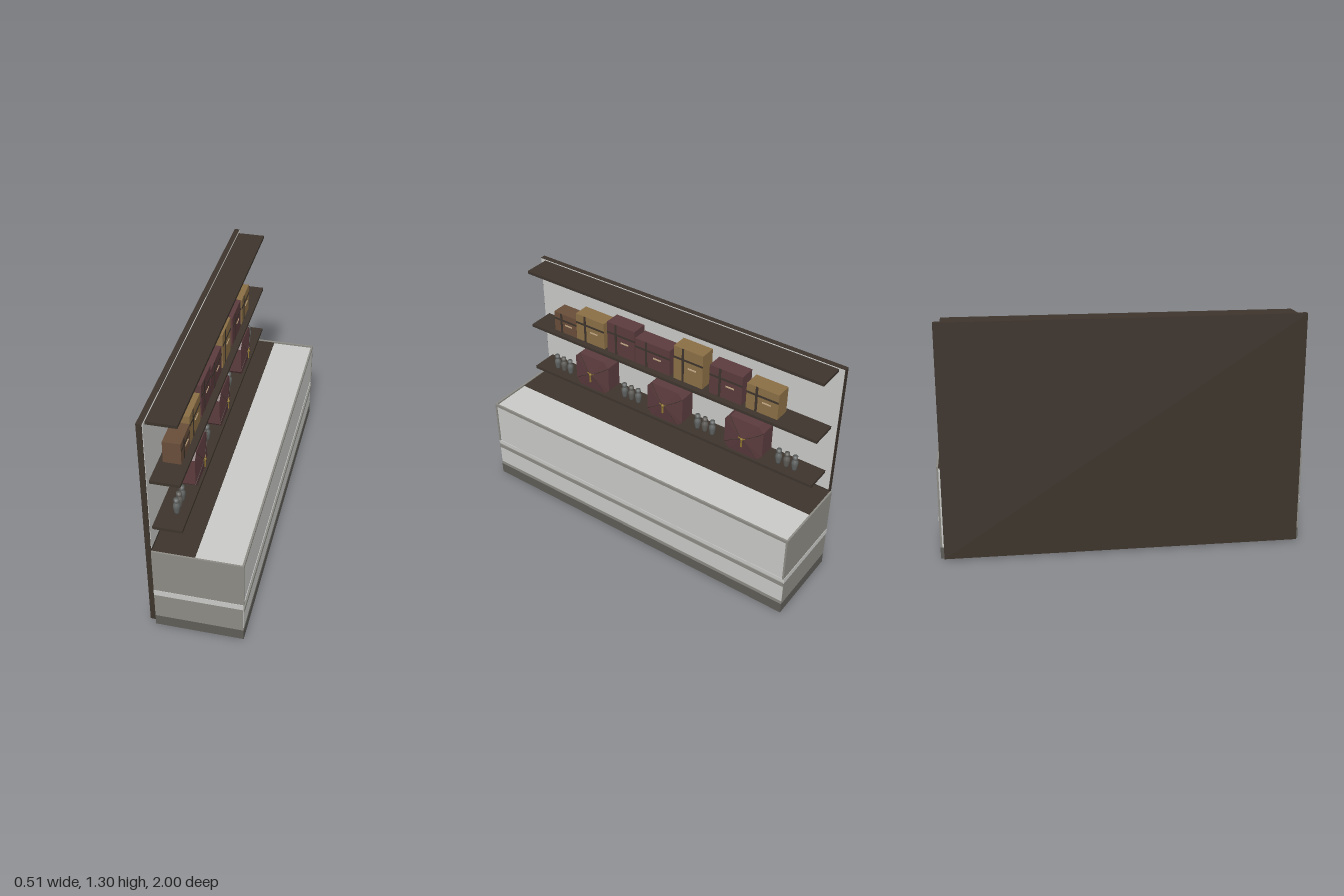
import * as THREE from 'three';

const mat = (name, color, extra = {}) => {
  const m = new THREE.MeshStandardMaterial({ color, ...extra });
  m.name = name;
  return m;
};

export function createModel() {
  const light = mat('lightPanel', 0xc8c8c6);
  const grey = mat('warmGrey', 0x8b8a83);
  const darkGrey = mat('plinthGrey', 0x5e5c57);
  const wood = mat('darkWood', 0x3d342c);
  const burgundy = mat('burgundy', 0x5b3b3d);
  const tan = mat('tan', 0x8a6e45);
  const brown = mat('cardboardBrown', 0x684d39);
  const gold = mat('gold', 0x907530);
  const metal = mat('bottleGrey', 0x5f6361);
  const cream = mat('labelCream', 0xc4a985);

  const root = new THREE.Group();
  root.name = 'shopCounter';

  const add = (parent, name, geometry, material) => {
    const mesh = new THREE.Mesh(geometry, material);
    mesh.name = name;
    parent.add(mesh);
    return mesh;
  };
  // Box given by its minimum and maximum on each axis
  const block = (parent, name, material, x0, x1, y0, y1, z0, z1) => {
    const mesh = add(parent, name, new THREE.BoxGeometry(x1 - x0, y1 - y0, z1 - z0), material);
    mesh.position.set((x0 + x1) / 2, (y0 + y1) / 2, (z0 + z1) / 2);
    return mesh;
  };
  const group = (name) => {
    const g = new THREE.Group();
    g.name = name;
    root.add(g);
    return g;
  };

  // Counter
  const counter = group('counter');
  block(counter, 'plinth', darkGrey, -0.22, 0.25, 0, 0.065, -1, 1);
  block(counter, 'counterBody', light, -0.22, 0.245, 0.065, 0.515, -0.99, 0.99);
  block(counter, 'counterDeck', wood, -0.22, 0, 0.515, 0.52, -0.99, 0.99);
  block(counter, 'lowerFront', light, 0.245, 0.248, 0.085, 0.25, -0.999, 0.999);
  block(counter, 'plinthTrim', grey, 0.245, 0.25, 0.065, 0.085, -1, 1);
  block(counter, 'frontStripe', grey, 0.245, 0.253, 0.2, 0.225, -0.999, 0.999);
  block(counter, 'topRail', grey, 0.24, 0.25, 0.508, 0.525, -1, 1);
  for (const s of [-1, 1]) {
    const span = (a, b) => (s > 0 ? [a, b] : [-b, -a]);
    block(counter, 'endPanel', grey, -0.22, 0.245, 0.065, 0.525, ...span(0.99, 1));
    block(counter, 'cornerPost', grey, 0.245, 0.25, 0.25, 0.508, ...span(0.99, 1));
    block(counter, 'endStripe', light, -0.22, 0.249, 0.22, 0.255, ...span(0.995, 1.002));
  }

  // Back wall with a light facing
  const wall = group('backWall');
  block(wall, 'wallPanel', wood, -0.255, -0.226, 0.01, 1.3, -0.98, 0.98);
  block(wall, 'wallFacing', light, -0.226, -0.223, 0.525, 1.297, -0.977, 0.977);

  // Shelves with a tan underside
  const shelves = group('shelves');
  for (const top of [0.645, 0.94, 1.293]) {
    block(shelves, 'shelf', wood, -0.225, -0.07, top - 0.017, top, -0.945, 0.945);
    block(shelves, 'shelfUnderside', tan, -0.223, -0.08, top - 0.023, top - 0.017, -0.935, 0.935);
  }

  // Gift boxes: centre z, width, height, colour
  const boxes = group('giftBoxes');
  const boxList = [
    [0.716, 0.162, 0.124, brown], [0.534, 0.2, 0.167, tan], [0.315, 0.19, 0.194, burgundy],
    [0.099, 0.23, 0.16, burgundy], [-0.137, 0.187, 0.21, tan], [-0.375, 0.203, 0.178, burgundy],
    [-0.599, 0.192, 0.156, tan],
  ];
  for (const [z, w, h, m] of boxList) {
    const y = 0.94, f = -0.105, z0 = z - w / 2, z1 = z + w / 2;
    block(boxes, 'giftBox', m, -0.198, f, y, y + h, z0, z1);
    const rz = z1 - w * 0.32, ry = y + h * 0.67;
    block(boxes, 'uprightRibbon', wood, f, f + 0.002, y, y + h, rz - 0.007, rz + 0.007);
    block(boxes, 'crossRibbon', wood, f, f + 0.002, ry - 0.006, ry + 0.006, z0, z1);
    const lz = z - w * 0.14, ly = y + h * 0.46;
    block(boxes, 'boxLabel', cream, f, f + 0.003, ly - 0.004, ly + 0.004, lz - 0.026, lz + 0.026);
  }

  // Octagonal cases: bevelled block with a shallow pyramid front, creases and a gold pull
  const outline = (w, h, c) => [
    [w - c, -h], [w, -h + c], [w, h - c], [w - c, h],
    [-w + c, h], [-w, h - c], [-w, -h + c], [-w + c, -h],
  ];
  const ring = outline(0.119, 0.11, 0.032);
  const shape = new THREE.Shape(ring.map(([a, b]) => new THREE.Vector2(a, b)));
  const bodyGeo = new THREE.ExtrudeGeometry(shape, { depth: 0.1, bevelEnabled: false });
  const frontPoints = [];
  ring.forEach(([a, b], i) => {
    const [c, d] = ring[(i + 1) % ring.length];
    frontPoints.push(a, b, 0.1, c, d, 0.1, 0, 0, 0.118);
  });
  const frontGeo = new THREE.BufferGeometry();
  frontGeo.setAttribute('position', new THREE.Float32BufferAttribute(frontPoints, 3));
  frontGeo.computeVertexNormals();

  for (const z of [0.515, 0, -0.515]) {
    const item = group('octagonalCase');
    item.position.set(-0.185, 0.755, z);
    item.rotation.y = Math.PI / 2;
    add(item, 'caseBody', bodyGeo, burgundy);
    add(item, 'caseFront', frontGeo, burgundy);
    for (const [a, b] of ring.filter((_, i) => i % 2 === 0)) {
      const curve = new THREE.QuadraticBezierCurve3(
        new THREE.Vector3(a, b, 0.1),
        new THREE.Vector3(a * 0.5, b * 0.35, 0.113),
        new THREE.Vector3(0, 0, 0.119));
      add(item, 'crease', new THREE.TubeGeometry(curve, 6, 0.0016, 4), wood);
    }
    const knob = add(item, 'goldKnob', new THREE.SphereGeometry(0.009, 8, 6), gold);
    knob.position.z = 0.12;
    block(item, 'goldPull', gold, -0.004, 0.004, -0.05, 0, 0.118, 0.123);
    for (const s of [-1, 1]) {
      const arm = block(item, 'goldBow', gold, -0.011, 0.011, -0.002, 0.002, 0.117, 0.121);
      arm.position.set(s * 0.012, 0.005, 0.119);
      arm.rotation.z = s * 0.4;
    }
  }

  // Small bottles in groups of three
  const bottles = group('bottles');
  const profile = [
    [0, 0], [0.012, 0], [0.013, 0.008], [0.019, 0.04], [0.018, 0.056],
    [0.01, 0.066], [0.01, 0.072], [0.015, 0.076], [0.014, 0.092], [0, 0.094],
  ].map(([r, y]) => new THREE.Vector2(r, y));
  const bottleGeo = new THREE.LatheGeometry(profile, 10);
  for (const centre of [0.773, 0.268, -0.24, -0.759]) {
    for (const i of [-1, 0, 1]) {
      const b = add(bottles, 'bottle', bottleGeo, i === 0 ? darkGrey : metal);
      b.position.set(-0.132, 0.645, centre + i * 0.049);
    }
  }

  return root;
}
